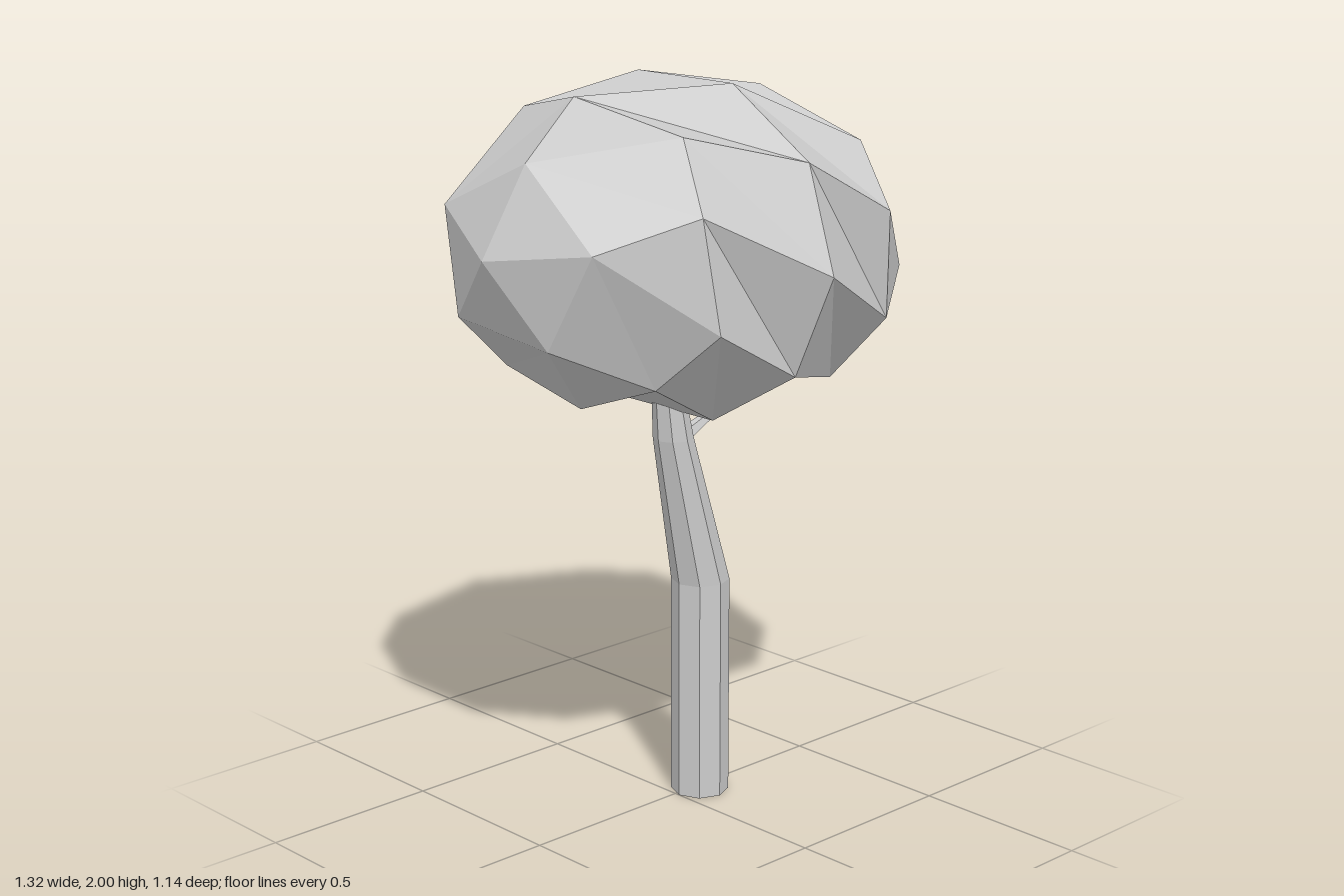
import * as THREE from 'three';

const material = new THREE.MeshStandardMaterial({ color: 0xcccccc, flatShading: true });

// Closed tapering limb through rings [x, y, z, radius, tilt about z]
function limb(name, rings, sides) {
  const pos = [];
  const point = ([x, y, z, r, tilt], i) => {
    const a = (i / sides) * Math.PI * 2;
    return [
      x + r * Math.cos(a) * Math.cos(tilt),
      y + r * Math.cos(a) * Math.sin(tilt),
      z + r * Math.sin(a),
    ];
  };
  const first = rings[0];
  const last = rings[rings.length - 1];
  for (let i = 0; i < sides; i++) {
    for (let k = 0; k < rings.length - 1; k++) {
      const a = point(rings[k], i), b = point(rings[k], i + 1);
      const c = point(rings[k + 1], i), d = point(rings[k + 1], i + 1);
      pos.push(...a, ...c, ...b, ...b, ...c, ...d);
    }
    // End caps
    pos.push(...first.slice(0, 3), ...point(first, i), ...point(first, i + 1));
    pos.push(...last.slice(0, 3), ...point(last, i + 1), ...point(last, i));
  }
  const geometry = new THREE.BufferGeometry();
  geometry.setAttribute('position', new THREE.Float32BufferAttribute(pos, 3));
  geometry.computeVertexNormals();
  const mesh = new THREE.Mesh(geometry, material);
  mesh.name = name;
  return mesh;
}

// Faceted ball twisted along x, then squashed and tipped to one side
function crown() {
  const geometry = new THREE.IcosahedronGeometry(1, 1);
  geometry.rotateZ(-2.124); // a five-fold corner points along x
  const p = geometry.attributes.position;
  const v = new THREE.Vector3();
  const axis = new THREE.Vector3(1, 0, 0);
  for (let i = 0; i < p.count; i++) {
    v.fromBufferAttribute(p, i);
    v.applyAxisAngle(axis, 1.345 * v.x);
    p.setXYZ(i, v.x, v.y, v.z);
  }
  geometry.scale(0.66, 0.463, 0.57);
  geometry.rotateZ(-0.075);
  geometry.translate(0, 1.56, 0);
  geometry.computeVertexNormals();
  const mesh = new THREE.Mesh(geometry, material);
  mesh.name = 'crown';
  return mesh;
}

export function createModel() {
  const tree = new THREE.Group();
  tree.name = 'tree';

  // Trunk: straight below, leaning towards -x above
  const trunk = limb('trunk', [
    [0.08, 0, 0.015, 0.08, 0],
    [0.08, 0.62, 0.015, 0.08, 0],
    [-0.022, 1.04, 0.015, 0.055, 0],
    [-0.04, 1.17, 0.015, 0.045, 0],
  ], 8);

  // Small side branch reaching up into the crown
  const branch = limb('branch', [
    [-0.01, 1.03, 0.02, 0.025, -1.1],
    [0.1, 1.085, 0.03, 0.014, -0.95],
    [0.17, 1.15, 0.03, 0.01, -0.8],
  ], 5);

  tree.add(trunk, branch, crown());
  return tree;
}
